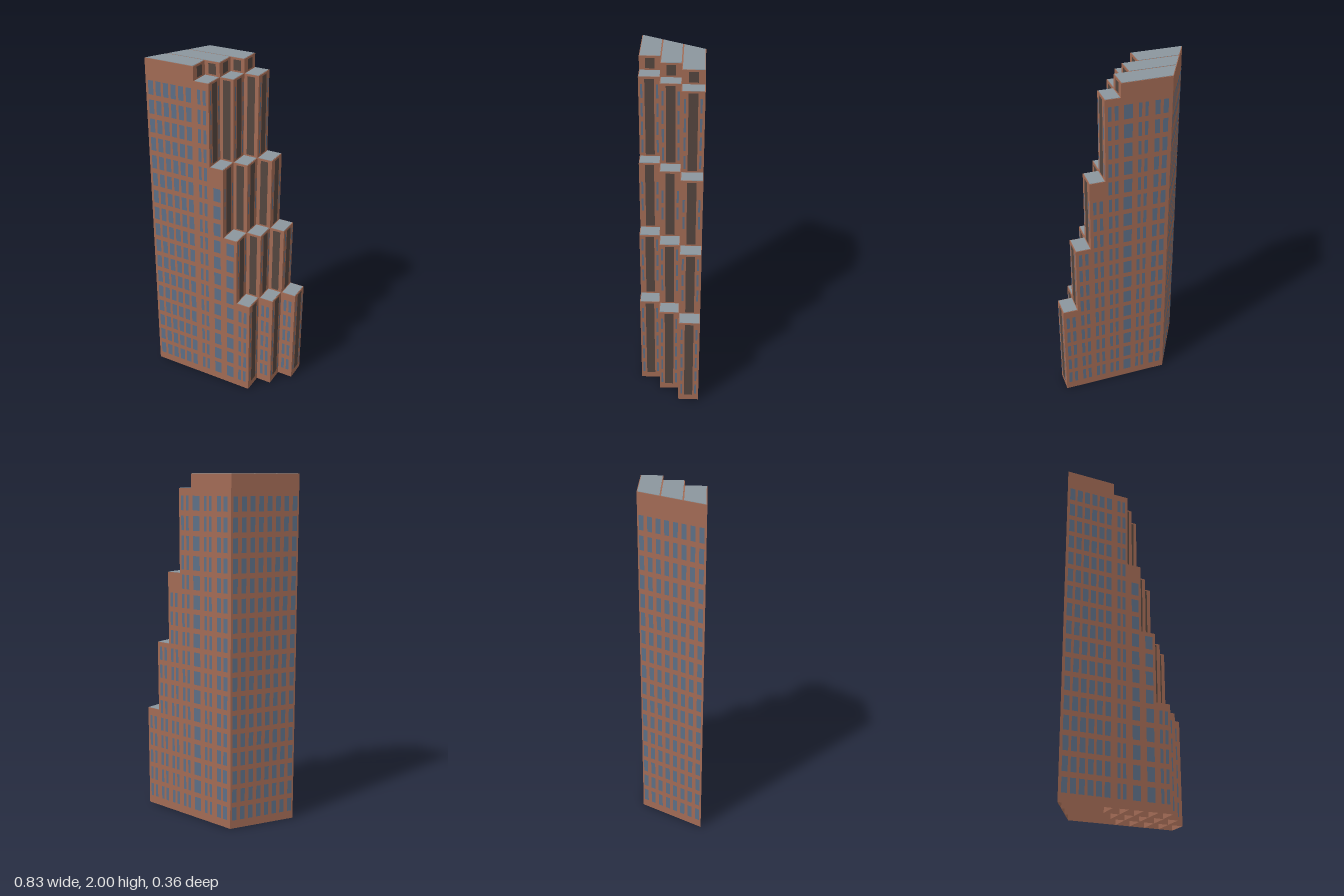
import * as THREE from 'three';
import { mergeGeometries } from 'three/addons/utils/BufferGeometryUtils.js';

const material = (name, color, side = THREE.FrontSide) => {
  const m = new THREE.MeshStandardMaterial({ color, side });
  m.name = name;
  return m;
};

// Plan: three rows from front to back, each stepping down towards +x
const ROW_Z = [0.177, 0.06, -0.055, -0.177];
const HEIGHTS = [1.998, 1.92, 1.45, 1.03, 0.612];
const STEPS = [
  [-0.115, -0.025, 0.058, 0.145, 0.23],
  [-0.025, 0.058, 0.145, 0.235, 0.321],
  [0.058, 0.145, 0.235, 0.324, 0.412],
];
const SLOPE = 0.193 / 0.354;
const slantX = (z) => -0.414 + (0.177 - z) * SLOPE;

// Walls and lid over four [x, z] corners, open underneath
function openPrism(corners, y0, y1) {
  const pos = [];
  const quad = (a, b, c, d) => pos.push(...a, ...b, ...c, ...a, ...c, ...d);
  const at = ([x, z], y) => [x, y, z];
  corners.forEach((a, i) => {
    const b = corners[(i + 1) % 4];
    quad(at(a, y0), at(b, y0), at(b, y1), at(a, y1));
  });
  quad(...corners.map((c) => at(c, y1)));
  const g = new THREE.BufferGeometry();
  g.setAttribute('position', new THREE.Float32BufferAttribute(pos, 3));
  g.computeVertexNormals();
  return g;
}

// Upright flat panel facing the given angle, just proud of the wall
function panel(x, z, angle, width, y0, y1) {
  const off = 0.002;
  return new THREE.PlaneGeometry(width, y1 - y0)
    .rotateY(angle)
    .translate(x + Math.sin(angle) * off, (y0 + y1) / 2, z + Math.cos(angle) * off);
}

// Column of windows on the common floor spacing, between two heights
function windowColumn(list, x, z, angle, width, low, high) {
  for (let i = 0; i < 17; i++) {
    const top = 1.88 - i * 0.1094;
    if (top < high - 0.02 && top - 0.08 > low + 0.02) {
      list.push(panel(x, z, angle, width, top - 0.08, top));
    }
  }
}

export function createModel() {
  const model = new THREE.Group();
  model.name = 'steppedTower';
  const brick = material('brick', 0xa26b55, THREE.DoubleSide);
  const roof = material('roofGrey', 0x8b969e);
  const glass = material('windowGlass', 0x5d6f86);
  const dark = material('darkPanel', 0x54463f);

  const walls = [], roofs = [], windows = [], strips = [];
  const RIGHT = Math.PI / 2, BACK = Math.PI;

  STEPS.forEach((ends, r) => {
    const zf = ROW_Z[r], zb = ROW_Z[r + 1], zc = (zf + zb) / 2;
    ends.forEach((x1, k) => {
      const h = HEIGHTS[k], low = HEIGHTS[k + 1] ?? 0;
      const left = (z) => (k === 0 ? slantX(z) : ends[k - 1]);

      // Block and its inset roof
      walls.push(openPrism([[left(zf), zf], [x1, zf], [x1, zb], [left(zb), zb]], 0, h));
      const e = 0.004, f = zf - e, b = zb + e;
      roofs.push(openPrism([[left(f) + e, f], [x1 - e, f], [x1 - e, b], [left(b) + e, b]], h, h + 0.002));

      // Dark strip with slim windows on the stepped side
      const bottom = low === 0 ? 0.04 : low + 0.01;
      strips.push(panel(x1, zc, RIGHT, 0.05, bottom, h - 0.01));
      for (const s of [-1, 1]) windowColumn(windows, x1, zc + s * 0.042, RIGHT, 0.011, low, h);

      // Front faces left exposed by the row ahead
      if (r > 0) {
        const x0 = STEPS[r - 1][k], xc = (x0 + x1) / 2;
        if (low > 0) strips.push(panel(xc, zf, 0, 0.045, low + 0.01, h - 0.01));
        else for (const s of [-1, 1]) windowColumn(windows, xc + s * 0.016, zf, 0, 0.018, 0, h);
      }
    });
  });

  // Front windows
  for (let i = 0; i < 6; i++) windowColumn(windows, -0.382 + i * 0.0472, 0.177, 0, 0.032, 0, 1.998);
  for (const [x, w, k] of [
    [-0.083, 0.018, 1], [-0.05, 0.018, 1], [0.02, 0.044, 2],
    [0.104, 0.046, 3], [0.17, 0.018, 4], [0.204, 0.018, 4],
  ]) windowColumn(windows, x, 0.177, 0, w, 0, HEIGHTS[k]);

  // Back windows
  for (const [x, w] of [[0.02, 0.048], [-0.045, 0.018], [-0.08, 0.018], [-0.14, 0.028], [-0.185, 0.028]]) {
    windowColumn(windows, x, -0.177, BACK, w, 0, 1.998);
  }
  for (let k = 1; k < 5; k++) {
    const xc = (STEPS[2][k - 1] + STEPS[2][k]) / 2;
    for (const s of [-1, 1]) windowColumn(windows, xc + s * 0.018, -0.177, BACK, 0.019, 0, HEIGHTS[k]);
  }

  // Slanted side windows
  const slantAngle = Math.atan2(-1, -SLOPE);
  for (let i = 0; i < 8; i++) {
    const z = 0.177 - 0.354 * (i + 0.5) / 8;
    windowColumn(windows, slantX(z), z, slantAngle, 0.028, 0, 1.998);
  }

  for (const [name, list, mat] of [
    ['brickBlocks', walls, brick], ['roofs', roofs, roof],
    ['windows', windows, glass], ['darkStrips', strips, dark],
  ]) {
    const mesh = new THREE.Mesh(mergeGeometries(list), mat);
    mesh.name = name;
    model.add(mesh);
  }
  return model;
}
